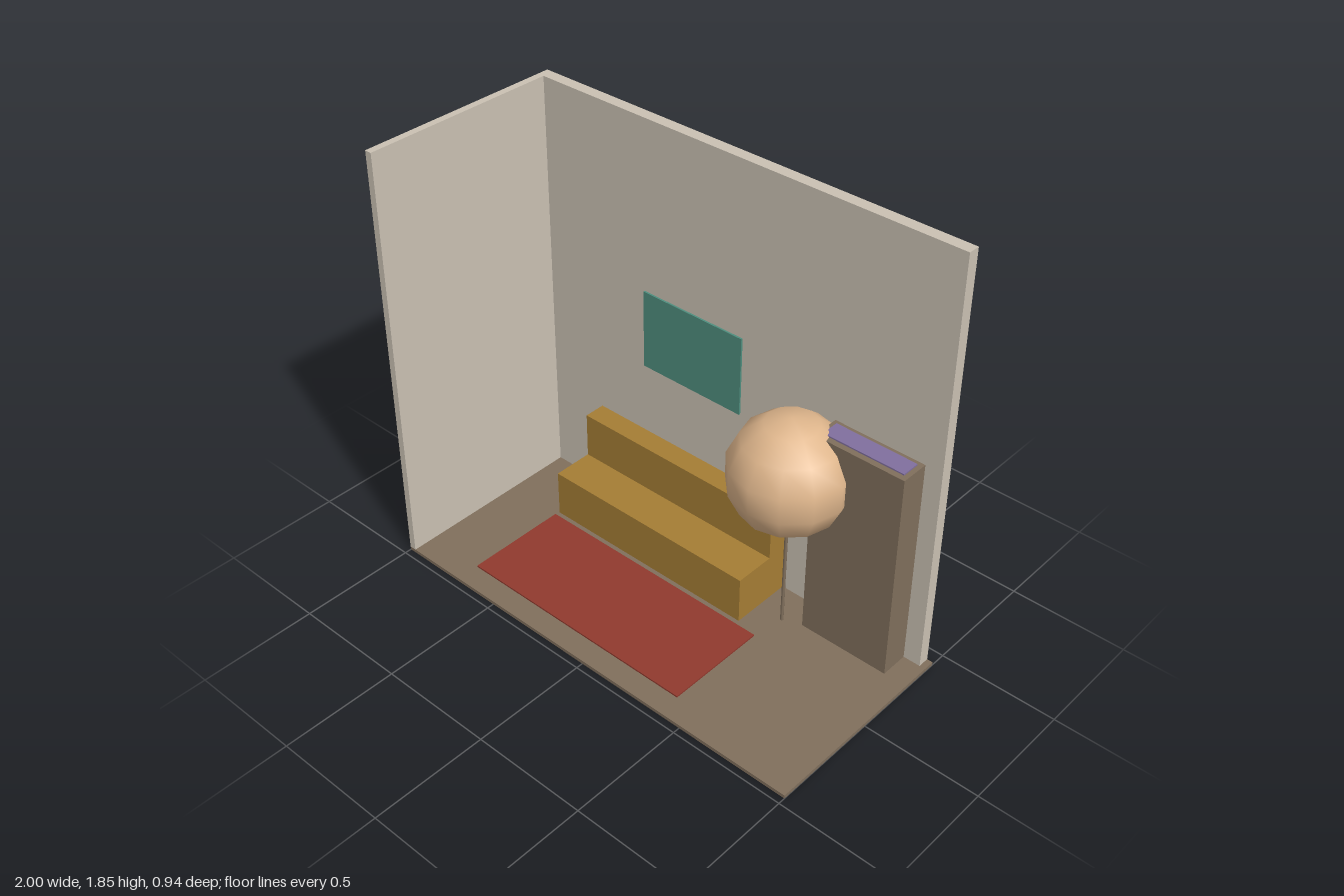
import * as THREE from 'three';

const material = (name, color) => {
  const m = new THREE.MeshStandardMaterial({ color });
  m.name = name;
  return m;
};

export function createModel() {
  const room = new THREE.Group();
  room.name = 'livingRoom';

  const plaster = material('plaster', 0xcac1b3);
  const wood = material('brown wood', 0x806f5c);
  const mustard = material('mustard fabric', 0xa57d34);
  const red = material('red wool', 0x903a2e);
  const teal = material('teal canvas', 0x4f8e7e);
  const violet = material('violet cloth', 0x806f9e);
  const peach = material('peach shade', 0xdfb68c);

  // Box given by its lower and upper limits on each axis
  const box = (name, mat, [x0, x1], [y0, y1], [z0, z1], parent = room) => {
    const mesh = new THREE.Mesh(new THREE.BoxGeometry(x1 - x0, y1 - y0, z1 - z0), mat);
    mesh.position.set((x0 + x1) / 2, (y0 + y1) / 2, (z0 + z1) / 2);
    mesh.name = name;
    parent.add(mesh);
    return mesh;
  };

  const floorTop = 0.015, wallTop = 1.85, back = -0.43, wallFace = -0.38, front = 0.47;

  // Room shell
  box('floor', wood, [-1, 1], [0, floorTop], [back, front]);
  box('backWall', plaster, [-0.97, 0.975], [floorTop, wallTop], [back, wallFace]);
  box('sideWall', plaster, [-1, -0.97], [floorTop, wallTop], [back, front]);

  // Sofa: low seat with a backrest against the wall
  const sofa = new THREE.Group();
  sofa.name = 'sofa';
  room.add(sofa);
  box('sofaSeat', mustard, [-0.7, 0.3], [floorTop, 0.225], [-0.285, -0.105], sofa);
  box('sofaBack', mustard, [-0.7, 0.3], [floorTop, 0.43], [wallFace, -0.285], sofa);

  // Rug and wall picture
  box('rug', red, [-0.7, 0.4], [floorTop, 0.022], [-0.08, 0.37]);
  box('wallPicture', teal, [-0.45, 0.05], [0.755, 1.105], [wallFace, -0.372]);

  // Tall cabinet with a cloth on top
  box('cabinet', wood, [0.5, 0.9], [floorTop, 0.95], [wallFace, -0.255]);
  box('cabinetCloth', violet, [0.52, 0.88], [0.95, 0.956], [-0.36, -0.28]);

  // Floor lamp: thin pole and a large globe that reaches through the wall
  const lamp = new THREE.Group();
  lamp.name = 'floorLamp';
  lamp.position.set(0.42, 0, -0.227);
  room.add(lamp);
  const pole = new THREE.Mesh(new THREE.CylinderGeometry(0.007, 0.007, 0.5, 8), wood);
  pole.name = 'lampPole';
  pole.position.y = floorTop + 0.25;
  const globe = new THREE.Mesh(new THREE.SphereGeometry(0.249, 12, 7), peach);
  globe.name = 'lampGlobe';
  globe.position.y = 0.753;
  lamp.add(pole, globe);

  return room;
}
